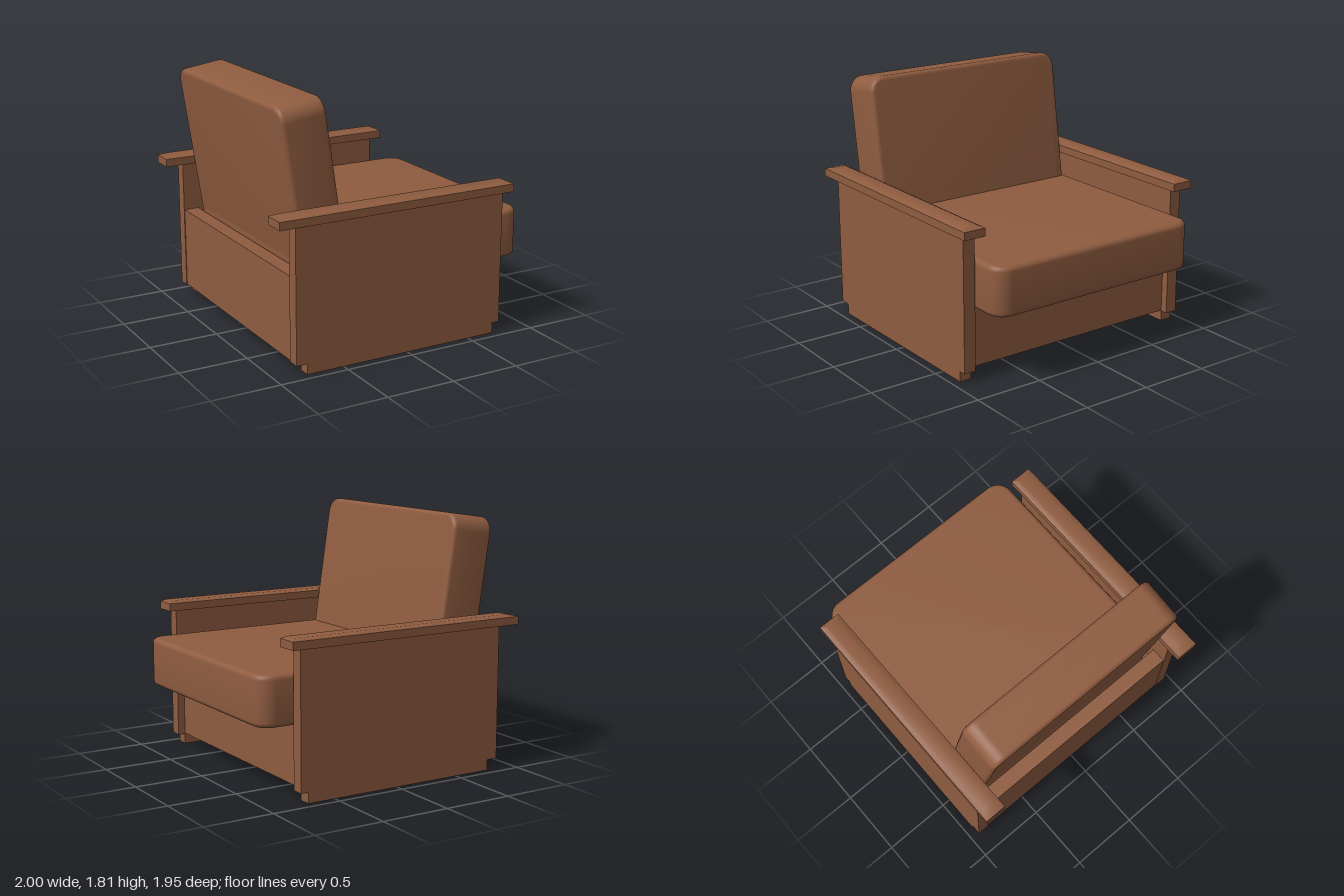
import * as THREE from 'three';
import { toCreasedNormals } from 'three/addons/utils/BufferGeometryUtils.js';

const brown = new THREE.MeshStandardMaterial({ color: 0x8f5c40 });
brown.name = 'warm brown';

function addMesh(parent, name, geometry) {
  const mesh = new THREE.Mesh(geometry, brown);
  mesh.name = name;
  parent.add(mesh);
  return mesh;
}

// Box given by its limits on each axis
function block(x0, x1, y0, y1, z0, z1) {
  return new THREE.BoxGeometry(x1 - x0, y1 - y0, z1 - z0)
    .translate((x0 + x1) / 2, (y0 + y1) / 2, (z0 + z1) / 2);
}

// Pillow slab centred on the origin: rounded outline in XY, soft rims, thickness along Z
function cushion(width, height, thickness, radius, rim) {
  const w = width / 2 - rim, h = height / 2 - rim, r = radius - rim;
  const shape = new THREE.Shape();
  shape.absarc(w - r, h - r, r, 0, Math.PI / 2);
  shape.absarc(-w + r, h - r, r, Math.PI / 2, Math.PI);
  shape.absarc(-w + r, -h + r, r, Math.PI, Math.PI * 1.5);
  shape.absarc(w - r, -h + r, r, Math.PI * 1.5, Math.PI * 2);
  shape.closePath();
  const geometry = new THREE.ExtrudeGeometry(shape, {
    depth: thickness - 2 * rim, curveSegments: 8,
    bevelSize: rim, bevelThickness: rim, bevelSegments: 5,
  });
  geometry.translate(0, 0, rim - thickness / 2);
  return toCreasedNormals(geometry, 0.6);
}

// Arm board whose upper layer tapers in on all sides
function armBoard(x0, x1, z0, z1) {
  const y0 = 1.03, shoulder = 1.087, top = 1.104;
  const geometry = new THREE.BoxGeometry(1, 2, 1, 1, 2, 1);
  const p = geometry.attributes.position;
  for (let i = 0; i < p.count; i++) {
    const level = p.getY(i);
    const inset = level > 0.5 ? 1 : 0;
    const x = p.getX(i) < 0 ? x0 + 0.08 * inset : x1 - 0.035 * inset;
    const z = p.getZ(i) < 0 ? z0 + 0.035 * inset : z1 - 0.035 * inset;
    p.setXYZ(i, x, level < -0.5 ? y0 : inset ? top : shoulder, z);
  }
  return toCreasedNormals(geometry, 0.6);
}

export function createModel() {
  const chair = new THREE.Group();
  chair.name = 'armchair';

  // Seat base and the low rail behind the back cushion
  addMesh(chair, 'seatBase', block(-0.85, 0.705, 0.08, 0.505, -0.85, 0.85));
  addMesh(chair, 'backRail', block(-0.85, -0.74, 0.505, 0.67, -0.85, 0.85));

  // Side panels with stepped-in feet, cut as one profile
  const side = new THREE.Shape();
  [[-0.775, 0], [0.705, 0], [0.705, 0.075], [0.76, 0.075],
    [0.76, 1.035], [-0.855, 1.035], [-0.855, 0.075], [-0.775, 0.075]]
    .forEach(([x, y], i) => (i ? side.lineTo(x, y) : side.moveTo(x, y)));
  for (const s of [1, -1]) {
    const panel = new THREE.ExtrudeGeometry(side, { depth: 0.09, bevelEnabled: false });
    panel.translate(0, 0, s * 0.895 - 0.045);
    const label = s > 0 ? 'left' : 'right';
    addMesh(chair, label + 'SidePanel', panel);
    // The two boards sit slightly offset along the chair
    const shift = s > 0 ? -0.008 : 0;
    const lo = s > 0 ? 0.812 : -0.975;
    addMesh(chair, label + 'ArmBoard',
      armBoard(-1 - shift * 2, 0.835 + shift, lo, lo + 0.163));
  }

  // Seat cushion, overhanging the base at the front
  const seat = addMesh(chair, 'seatCushion', cushion(1.73, 1.68, 0.35, 0.12, 0.035));
  seat.rotation.x = -Math.PI / 2;
  seat.position.set(0.135, 0.68, 0);

  // Back cushion, leaning backwards and tucked behind the seat
  const tilt = 0.15, height = 1.25;
  const back = cushion(1.62, height, 0.33, 0.11, 0.03);
  back.rotateY(Math.PI / 2).translate(0, -height / 2, 0);
  const backMesh = addMesh(chair, 'backCushion', back);
  backMesh.rotation.z = tilt;
  backMesh.position.set(-0.728, 1.79, 0);

  return chair;
}
